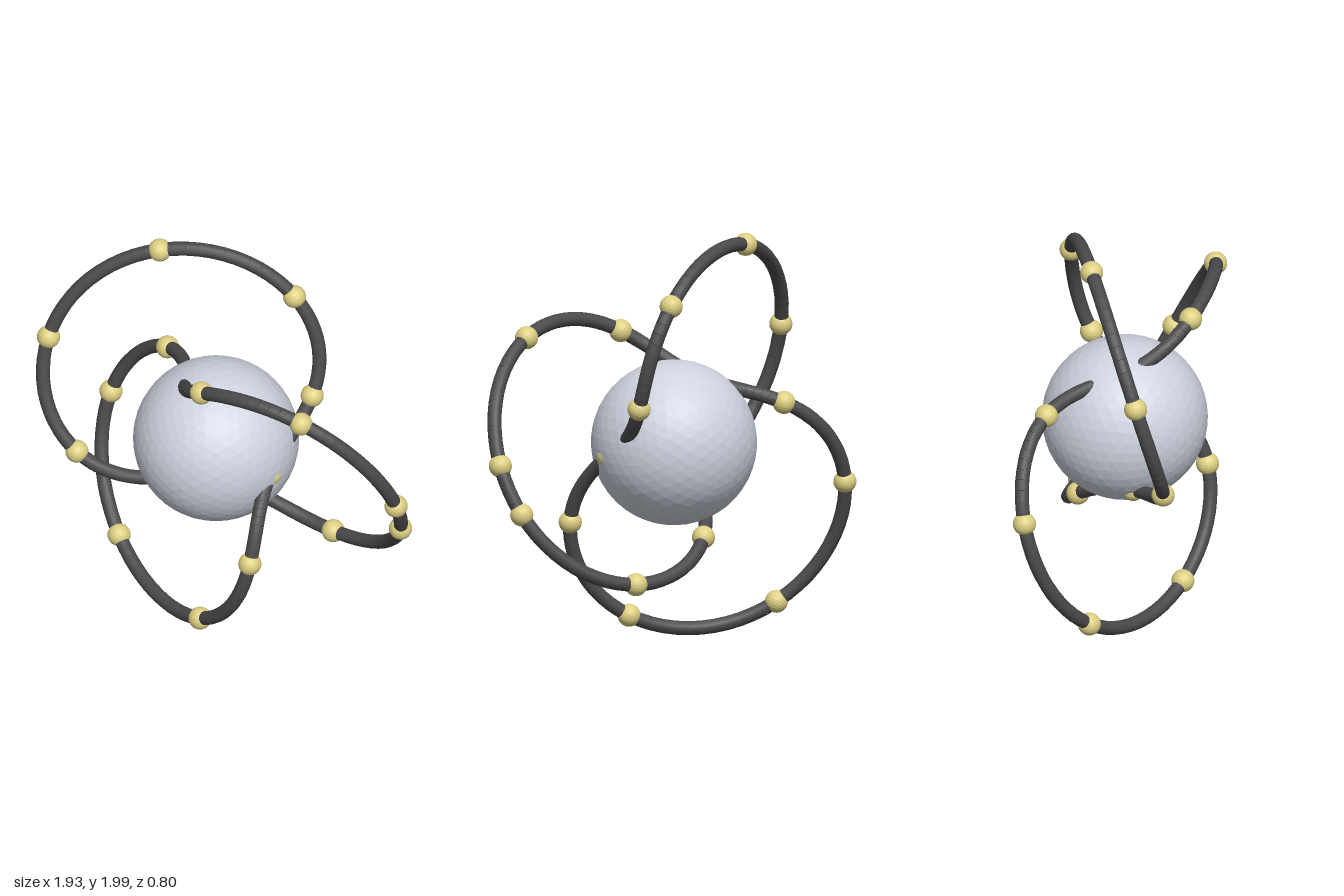
import * as THREE from 'three';

const SEGMENTS = 220;
const CENTRE = new THREE.Vector3(-0.11, 1, 0);
const A = 0.34; // minor radius of the knot; the major radius is twice that

// Trefoil wound around a torus
function knotPoint(i) {
  const t = (i / SEGMENTS) * Math.PI * 2;
  const r = A * (2 + Math.cos(3 * t));
  return new THREE.Vector3(r * Math.cos(2 * t), r * Math.sin(2 * t), A * Math.sin(3 * t)).add(CENTRE);
}

export function createModel() {
  const model = new THREE.Group();
  const coreMat = new THREE.MeshStandardMaterial({ color: 0xcdd2de, flatShading: true });
  const tubeMat = new THREE.MeshStandardMaterial({ color: 0x4a4a4c });
  const beadMat = new THREE.MeshStandardMaterial({ color: 0xddcf82, flatShading: true });

  // Central faceted ball
  const core = new THREE.Mesh(new THREE.IcosahedronGeometry(0.4, 7), coreMat);
  core.name = 'core';
  core.position.copy(CENTRE);
  model.add(core);

  // Knotted ring made of short straight links
  const ring = new THREE.Group();
  ring.name = 'knotRing';
  const linkGeo = new THREE.CylinderGeometry(0.034, 0.034, 1, 14);
  const up = new THREE.Vector3(0, 1, 0);
  for (let i = 0; i < SEGMENTS; i++) {
    const a = knotPoint(i);
    const b = knotPoint(i + 1);
    const dir = b.clone().sub(a);
    const link = new THREE.Mesh(linkGeo, tubeMat);
    link.name = 'ringLink';
    link.position.copy(a).add(b).multiplyScalar(0.5);
    link.scale.y = dir.length() * 1.02;
    link.quaternion.setFromUnitVectors(up, dir.normalize());
    ring.add(link);
  }
  model.add(ring);

  // Beads on every twelfth joint
  const beads = new THREE.Group();
  beads.name = 'beads';
  const beadGeo = new THREE.IcosahedronGeometry(0.056, 3);
  for (let i = 0; i < SEGMENTS; i += 12) {
    const bead = new THREE.Mesh(beadGeo, beadMat);
    bead.name = 'bead';
    bead.position.copy(knotPoint(i));
    beads.add(bead);
  }
  model.add(beads);

  return model;
}
